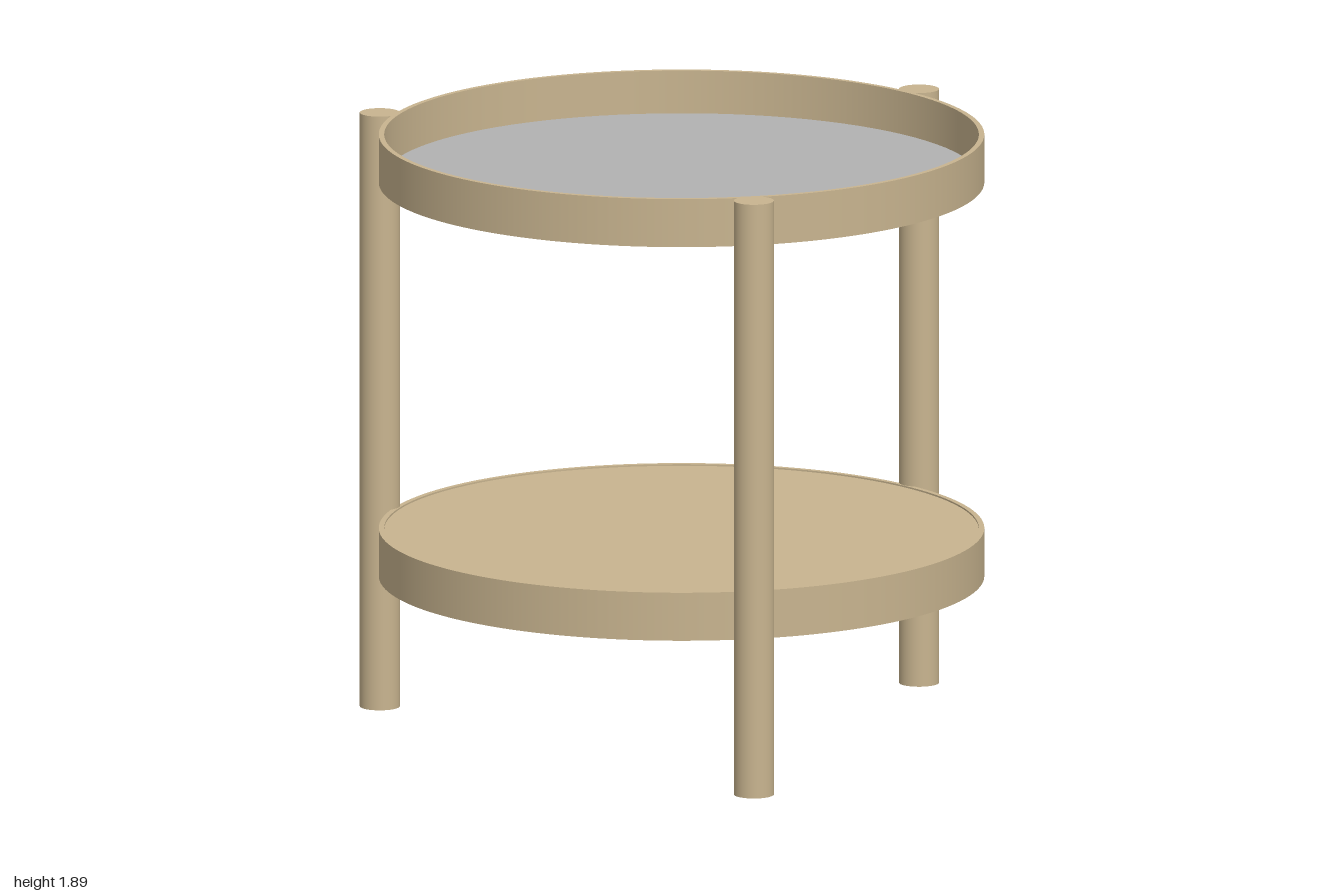
import * as THREE from 'three';

export function createModel() {
  const group = new THREE.Group();
  const wood = new THREE.MeshStandardMaterial({ color: 0xc8b48f });
  wood.name = 'light wood';
  const grey = new THREE.MeshStandardMaterial({ color: 0xb2b2b2 });
  grey.name = 'grey panel';

  const HEIGHT = 1.893, TRAY_Z = 0.055;
  const OUTER = 0.943, INNER = 0.926, RIM = 0.153;

  function add(name, geometry, material, x, y, z) {
    const mesh = new THREE.Mesh(geometry, material);
    mesh.name = name;
    mesh.position.set(x, y, z);
    group.add(mesh);
  }

  // Hoop rim: a flat ring extruded upwards
  const ring = new THREE.Shape().absarc(0, 0, OUTER, 0, Math.PI * 2, false);
  ring.holes.push(new THREE.Path().absarc(0, 0, INNER, 0, Math.PI * 2, true));
  const rim = new THREE.ExtrudeGeometry(ring, { depth: RIM, bevelEnabled: false, curveSegments: 96 });
  rim.rotateX(-Math.PI / 2);
  // Smooth the walls radially, leaving the flat ring faces as they are
  const p = rim.attributes.position, n = rim.attributes.normal;
  for (let i = 0; i < p.count; i++) {
    if (Math.abs(n.getY(i)) > 0.5) continue;
    const r = Math.hypot(p.getX(i), p.getZ(i));
    const s = r > (OUTER + INNER) / 2 ? 1 : -1;
    n.setXYZ(i, s * p.getX(i) / r, 0, s * p.getZ(i) / r);
  }

  // Trays: the upper panel lies low in its rim, the lower one sits near the top
  const panel = new THREE.CylinderGeometry(INNER, INNER, 0.012, 96);
  add('upperRim', rim, wood, 0, HEIGHT - RIM, TRAY_Z);
  add('upperPanel', panel, grey, 0, 1.751, TRAY_Z);
  add('lowerRim', rim, wood, 0, 0.485, TRAY_Z);
  add('lowerPanel', panel, wood, 0, 0.627, TRAY_Z);

  // Three round legs pressed against the outside of the rims
  const leg = new THREE.CylinderGeometry(0.0625, 0.0625, HEIGHT, 40);
  add('backLeg', leg, wood, 0.008, HEIGHT / 2, -0.9375);
  add('frontLeftLeg', leg, wood, 0.864, HEIGHT / 2, 0.536);
  add('frontRightLeg', leg, wood, -0.868, HEIGHT / 2, 0.536);

  return group;
}
